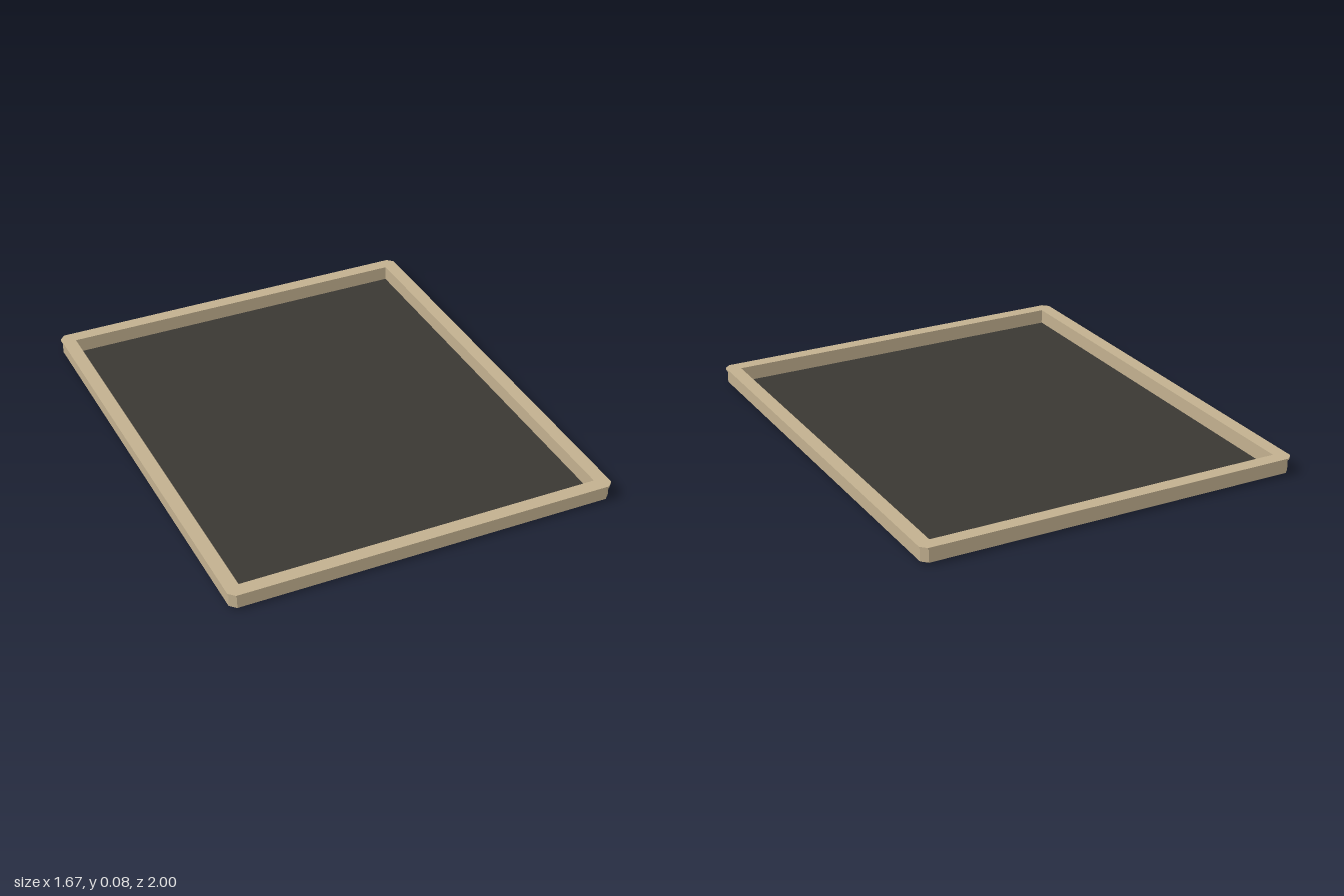
import * as THREE from 'three';

// Rectangle outline with cut corners
function outline(shape, hx, hz, cut) {
  const pts = [
    [hx - cut, -hz], [hx, -hz + cut], [hx, hz - cut], [hx - cut, hz],
    [-hx + cut, hz], [-hx, hz - cut], [-hx, -hz + cut], [-hx + cut, -hz],
  ];
  shape.setFromPoints(pts.map(([x, y]) => new THREE.Vector2(x, y)));
  return shape;
}

// Flat ring with a square-cornered opening, between two heights
function ring(name, hx, hz, cut, holeX, holeZ, y0, y1, material) {
  const shape = outline(new THREE.Shape(), hx, hz, cut);
  const hole = new THREE.Path().setFromPoints([
    new THREE.Vector2(-holeX, -holeZ), new THREE.Vector2(-holeX, holeZ),
    new THREE.Vector2(holeX, holeZ), new THREE.Vector2(holeX, -holeZ),
  ]);
  shape.holes.push(hole);
  const geo = new THREE.ExtrudeGeometry(shape, { depth: y1 - y0, bevelEnabled: false });
  geo.rotateX(-Math.PI / 2).translate(0, y0, 0);
  const mesh = new THREE.Mesh(geo, material);
  mesh.name = name;
  return mesh;
}

export function createModel() {
  const group = new THREE.Group();
  group.name = 'tray';
  const tan = new THREE.MeshStandardMaterial({ color: 0xc2b08f });
  const dark = new THREE.MeshStandardMaterial({ color: 0x3a3833 });

  // Side walls and the slightly wider lip on top
  group.add(ring('frameWall', 0.829, 0.994, 0.025, 0.775, 0.94, 0.01, 0.068, tan));
  group.add(ring('frameLip', 0.835, 1.0, 0.025, 0.775, 0.94, 0.068, 0.075, tan));

  // Thin bottom panel
  const panel = new THREE.Mesh(new THREE.BoxGeometry(1.55, 0.011, 1.88), dark);
  panel.position.y = 0.0055;
  panel.name = 'bottomPanel';
  group.add(panel);

  return group;
}
